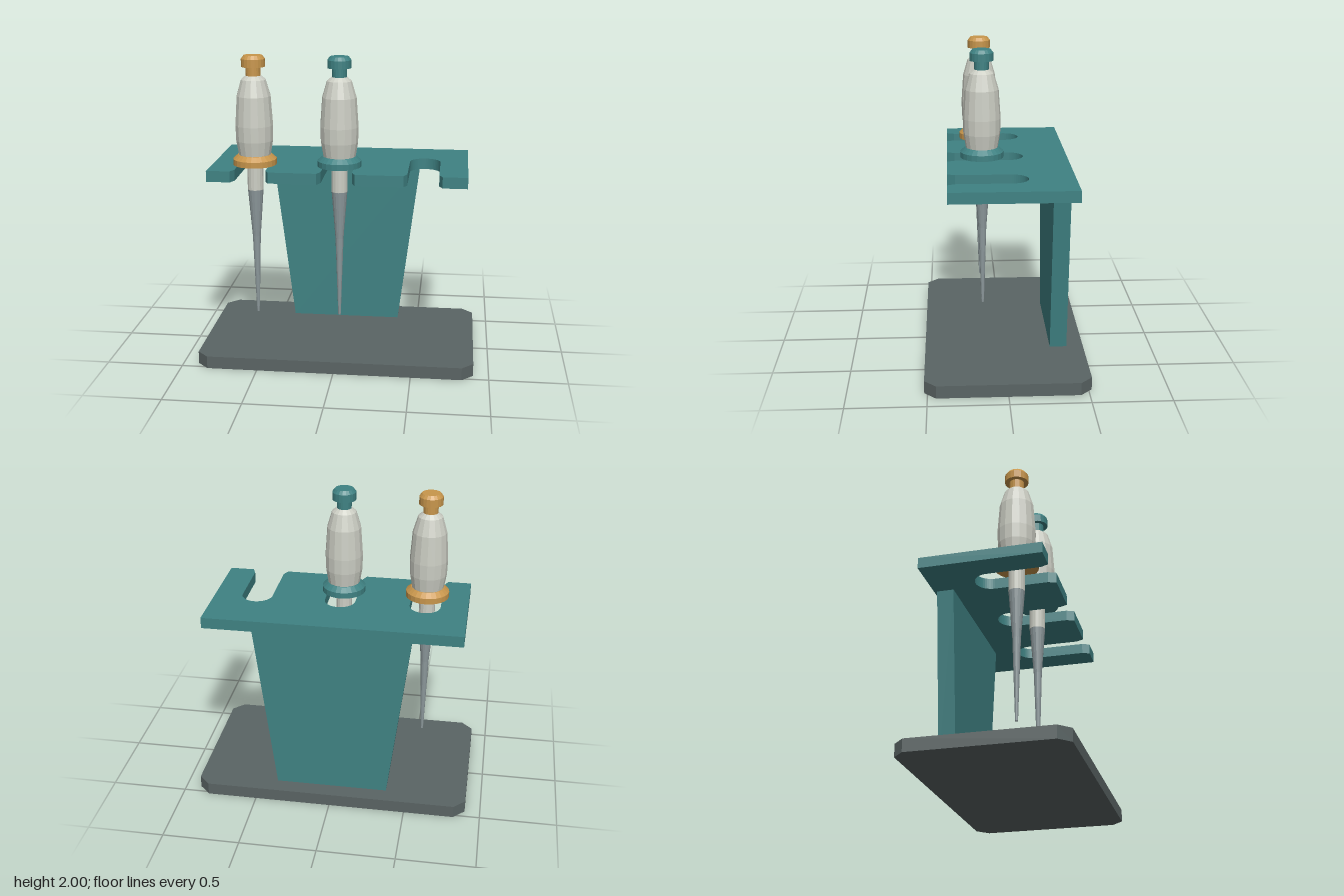
import * as THREE from 'three';

const mat = (color) => new THREE.MeshStandardMaterial({ color, flatShading: true });

function addPart(parent, name, geometry, material) {
  const mesh = new THREE.Mesh(geometry, material);
  mesh.name = name;
  parent.add(mesh);
  return mesh;
}

const polygon = (pts) => new THREE.Shape(pts.map(([x, y]) => new THREE.Vector2(x, y)));
const extrude = (shape, depth) =>
  new THREE.ExtrudeGeometry(shape, { depth, bevelEnabled: false, curveSegments: 12 });
// Plan outline (x, -z) raised from height y
const slab = (shape, y, height) => extrude(shape, height).rotateX(-Math.PI / 2).translate(0, y, 0);
// Turned part from [radius, height] pairs, listed bottom to top
const turned = (profile, sides) =>
  new THREE.LatheGeometry(profile.map(([r, y]) => new THREE.Vector2(r, y)), sides);

// Shelf outline with three round-ended slots, flared at the front edge
function shelfShape() {
  const front = -0.36, back = 0.43, r = 0.1, flare = 0.122;
  const shape = new THREE.Shape();
  shape.moveTo(-0.83, front);
  for (const x of [-0.555, 0, 0.55]) {
    shape.lineTo(x - flare, front);
    shape.lineTo(x - r, front + 0.05);
    shape.lineTo(x - r, 0.04);
    shape.absarc(x, 0.04, r, Math.PI, 0, true);
    shape.lineTo(x + r, front + 0.05);
    shape.lineTo(x + flare, front);
  }
  shape.lineTo(0.83, front);
  shape.lineTo(0.83, back);
  shape.lineTo(-0.83, back);
  shape.closePath();
  return shape;
}

function createPipette(accent, light, tipGrey) {
  const pipette = new THREE.Group();
  pipette.name = 'pipette';
  addPart(pipette, 'tip', turned([
    [0, 0.26], [0.009, 0.26], [0.027, 0.8], [0.052, 1.12], [0, 1.12],
  ], 16), tipGrey);
  addPart(pipette, 'shaft', turned([[0, 1.12], [0.053, 1.12], [0.053, 1.36], [0, 1.36]], 16), light);
  addPart(pipette, 'collar', turned([
    [0, 1.29], [0.142, 1.29], [0.142, 1.328], [0.11, 1.357], [0, 1.357],
  ], 24), accent);
  addPart(pipette, 'handle', turned([
    [0, 1.355], [0.105, 1.355], [0.121, 1.45], [0.124, 1.55],
    [0.111, 1.74], [0.08, 1.845], [0.05, 1.87], [0, 1.87],
  ], 16), light);
  addPart(pipette, 'plunger', turned([
    [0, 1.86], [0.048, 1.86], [0.048, 1.927], [0.077, 1.927],
    [0.077, 1.978], [0.06, 2], [0, 2],
  ], 20), accent);
  return pipette;
}

export function createModel() {
  const stand = new THREE.Group();
  stand.name = 'pipetteStand';
  const teal = mat(0x3f8283);
  const orange = mat(0xc8964c);
  const light = mat(0xcccec4);
  const tipGrey = mat(0x8c989b);
  const darkGrey = mat(0x5a6464);

  // Base plate with clipped corners
  const w = 0.9, d = 0.52, c = 0.073;
  addPart(stand, 'base', slab(polygon([
    [-w + c, -d], [w - c, -d], [w, -d + c], [w, d - c],
    [w - c, d], [-w + c, d], [-w, d - c], [-w, -d + c],
  ]), 0, 0.082), darkGrey);

  // Upright that widens toward the shelf
  const post = extrude(polygon([[-0.368, 0.08], [0.368, 0.08], [0.51, 1.22], [-0.51, 1.22]]), 0.11);
  addPart(stand, 'post', post.translate(0, 0, -0.41), teal);

  addPart(stand, 'shelf', slab(shelfShape(), 1.218, 0.072), teal);

  // Two pipettes hang in the slots; the third slot is empty
  [[-0.555, orange], [0, teal]].forEach(([x, accent]) => {
    const pipette = createPipette(accent, light, tipGrey);
    pipette.position.set(x, 0, 0.13);
    stand.add(pipette);
  });
  return stand;
}
